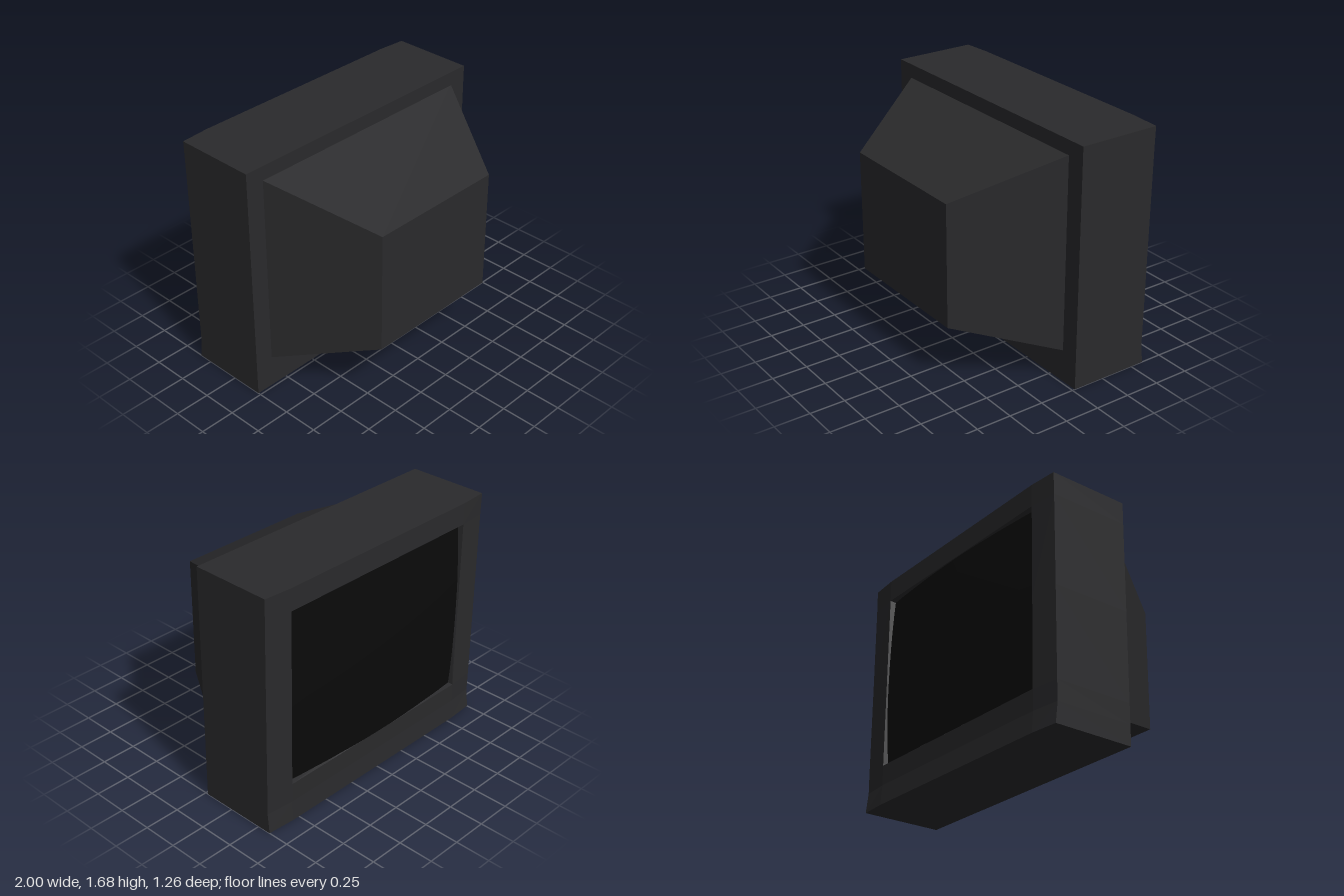
import * as THREE from 'three';

const shell = new THREE.MeshStandardMaterial({ color: 0x2a2a2c });
const glass = new THREE.MeshStandardMaterial({ color: 0x0a0a0a });

const BACK = -0.02; // plane where the cabinet meets the rear housing
const xs = [-1, -0.8, -0.5, -0.2, 0.2, 0.5, 0.8, 1];
const ys = [0, 0.14, 0.28, 0.9, 1.53, 1.685];
// bezel depth per row: along the middle, and at the outer side edges
const midZ = [-0.612, -0.602, -0.604, -0.607, -0.61, -0.612];
const sideZ = [-0.598, -0.583, -0.585, -0.589, -0.594, -0.597];

const bezelPoint = (i, j) => [xs[i], ys[j], i === 0 || i === xs.length - 1 ? sideZ[j] : midZ[j]];

// domed picture tube surface
const screenZ = (x, y) => -0.63 + 0.035 * (x / 0.8) ** 2 + 0.025 * ((y - 0.905) / 0.625) ** 2;

// flat-faced geometry from a list of quads
function quadGeometry(quads) {
  const pos = [];
  for (const [a, b, c, d] of quads) pos.push(...a, ...b, ...c, ...a, ...c, ...d);
  const geo = new THREE.BufferGeometry();
  geo.setAttribute('position', new THREE.Float32BufferAttribute(pos, 3));
  geo.computeVertexNormals();
  return geo;
}

// counter-clockwise loop of bezel points round a rectangle of grid indices
function gridLoop(i0, i1, j0, j1) {
  const loop = [];
  for (let i = i0; i < i1; i++) loop.push(bezelPoint(i, j0));
  for (let j = j0; j < j1; j++) loop.push(bezelPoint(i1, j));
  for (let i = i1; i > i0; i--) loop.push(bezelPoint(i, j1));
  for (let j = j1; j > j0; j--) loop.push(bezelPoint(i0, j));
  return loop;
}

// strip of quads from a closed loop to its counterpart deeper inside
function wallQuads(loop, inner) {
  return loop.map((a, k) => {
    const b = loop[(k + 1) % loop.length];
    return [a, b, inner(b), inner(a)];
  });
}

export function createModel() {
  const group = new THREE.Group();
  const add = (name, geo, material) => {
    const mesh = new THREE.Mesh(geo, material);
    mesh.name = name;
    group.add(mesh);
  };

  // bezel: gently bowed grid with the screen opening left out
  const bezel = [];
  for (let i = 0; i < xs.length - 1; i++) {
    for (let j = 0; j < ys.length - 1; j++) {
      if (i >= 1 && i <= 5 && (j === 2 || j === 3)) continue;
      bezel.push([bezelPoint(i + 1, j), bezelPoint(i, j), bezelPoint(i, j + 1), bezelPoint(i + 1, j + 1)]);
    }
  }
  add('bezel', quadGeometry(bezel), shell);

  // cabinet: outer walls and flat rear plate
  const cabinet = wallQuads(gridLoop(0, 7, 0, 5), ([x, y]) => [x, y, BACK]);
  cabinet.push([[-1, 0, BACK], [1, 0, BACK], [1, 1.685, BACK], [-1, 1.685, BACK]]);
  add('cabinet', quadGeometry(cabinet), shell);

  // recess: short walls from the opening in to the screen
  const recess = wallQuads(gridLoop(1, 6, 2, 4).reverse(), ([x, y]) => [x * 0.985, 0.905 + (y - 0.905) * 0.985, screenZ(x, y) + 0.01]);
  add('screenRecess', quadGeometry(recess), shell);

  // screen: smooth convex sheet facing -z
  const screen = new THREE.PlaneGeometry(1.6, 1.25, 12, 10).rotateY(Math.PI).translate(0, 0.905, 0);
  const sp = screen.attributes.position;
  for (let k = 0; k < sp.count; k++) sp.setZ(k, screenZ(sp.getX(k), sp.getY(k)));
  screen.computeVertexNormals();
  add('screen', screen, glass);

  // rear housing: box tapered towards +z
  const housing = new THREE.BoxGeometry(2, 2, 2);
  const hp = housing.attributes.position;
  for (let k = 0; k < hp.count; k++) {
    const far = hp.getZ(k) > 0;
    const x = hp.getX(k) * (far ? 0.505 : 0.875);
    const y = hp.getY(k) > 0 ? (far ? 1.3 : 1.59) : (far ? 0.44 : 0.225);
    hp.setXYZ(k, x, y, far ? 0.628 : BACK - 0.01);
  }
  housing.computeVertexNormals();
  add('rearHousing', housing, shell);

  return group;
}
